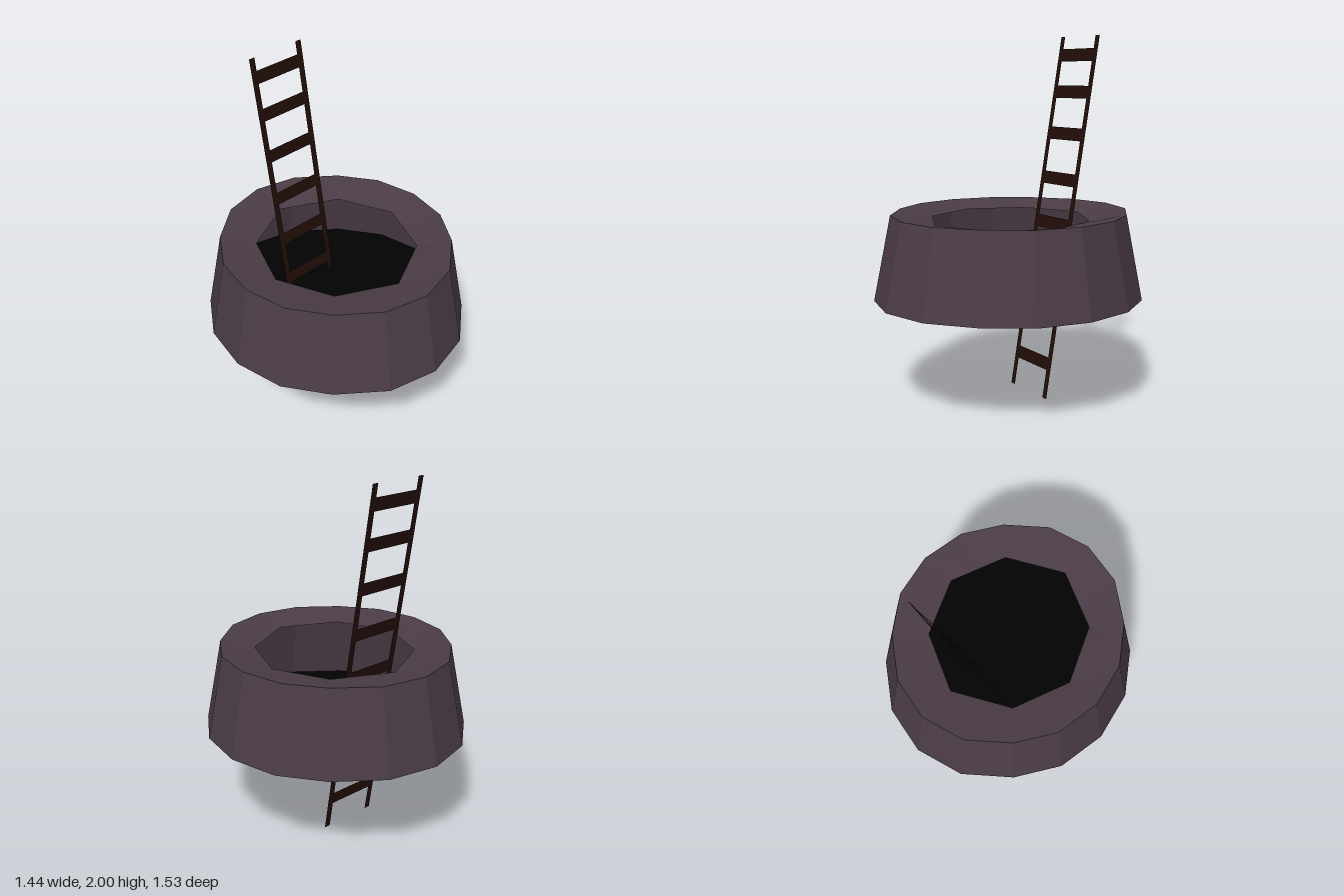
import * as THREE from 'three';

const SIDES = 16;

// Ring of 16 points, pulled out a little towards the front and back tips
function outerLoop(radius, y) {
  const stretches = [1.06, 1.05, 1.006, 1.02];
  return Array.from({ length: SIDES }, (_, i) => {
    const a = (i / SIDES) * Math.PI * 2;
    const fromTip = Math.min(i % 8, 8 - (i % 8));
    const stretch = stretches[fromTip % 4];
    return new THREE.Vector3(radius * Math.sin(a), y, radius * Math.cos(a) * stretch);
  });
}

// Eight-cornered opening, with a midpoint on each edge to match the outer ring
function openingLoop(radius, y, shiftZ) {
  const corner = (k) => {
    const a = (k / 8) * Math.PI * 2;
    const stretch = k % 4 === 0 ? 1.06 : 1;
    return new THREE.Vector3(radius * Math.sin(a), y, radius * Math.cos(a) * stretch + shiftZ);
  };
  return Array.from({ length: SIDES }, (_, i) =>
    corner(Math.floor(i / 2)).lerp(corner(Math.ceil(i / 2)), 0.5));
}

function facets(points) {
  const geometry = new THREE.BufferGeometry().setFromPoints(points);
  geometry.computeVertexNormals();
  return geometry;
}

// Faceted skin between two rings
function band(a, b) {
  return facets(a.flatMap((p, i) => {
    const j = (i + 1) % SIDES;
    return [p, a[j], b[i], a[j], b[j], b[i]];
  }));
}

// Shallow cone from a ring to a single point
function fan(a, apex) {
  return facets(a.flatMap((p, i) => [p, a[(i + 1) % SIDES], apex]));
}

export function createModel() {
  const model = new THREE.Group();
  const material = (color, flatShading) =>
    new THREE.MeshStandardMaterial({ color, flatShading, side: THREE.DoubleSide });
  const stone = material(0x4b3c46, true);
  const dark = material(0x020202, false);
  const wood = material(0x220d08, false);

  const add = (parent, name, geometry, mat) => {
    const mesh = new THREE.Mesh(geometry, mat);
    mesh.name = name;
    parent.add(mesh);
  };

  // Hollow well: thin tapering wall, rim dipping to the opening, floor rising to its middle
  const well = new THREE.Group();
  well.name = 'well';
  model.add(well);
  const foot = outerLoop(0.722, 0.578);
  const lip = outerLoop(0.632, 1.042);
  add(well, 'wall', band(foot, lip), stone);
  add(well, 'rim', band(lip, openingLoop(0.44, 1.005, 0.007)), stone);
  add(well, 'floor', fan(foot, new THREE.Vector3(0, 0.645, 0)), dark);

  // Paper-thin ladder, leaning back towards -z
  const ladder = new THREE.Group();
  ladder.name = 'ladder';
  model.add(ladder);
  const strip = (name, x0, x1, y0, y1) => {
    const geometry = new THREE.PlaneGeometry(x1 - x0, y1 - y0)
      .translate((x0 + x1) / 2, (y0 + y1) / 2, 0);
    const p = geometry.attributes.position;
    for (let i = 0; i < p.count; i++) p.setZ(i, -0.115 - 0.1725 * p.getY(i));
    geometry.computeVertexNormals();
    add(ladder, name, geometry, wood);
  };
  strip('rightRail', -0.164, -0.129, 0, 2);
  strip('leftRail', 0.148, 0.184, 0, 2);
  for (const y of [0.19, 0.445, 0.705, 0.955, 1.205, 1.457, 1.69, 1.895]) {
    strip('rung', -0.129, 0.148, y - 0.035, y + 0.035);
  }
  return model;
}
